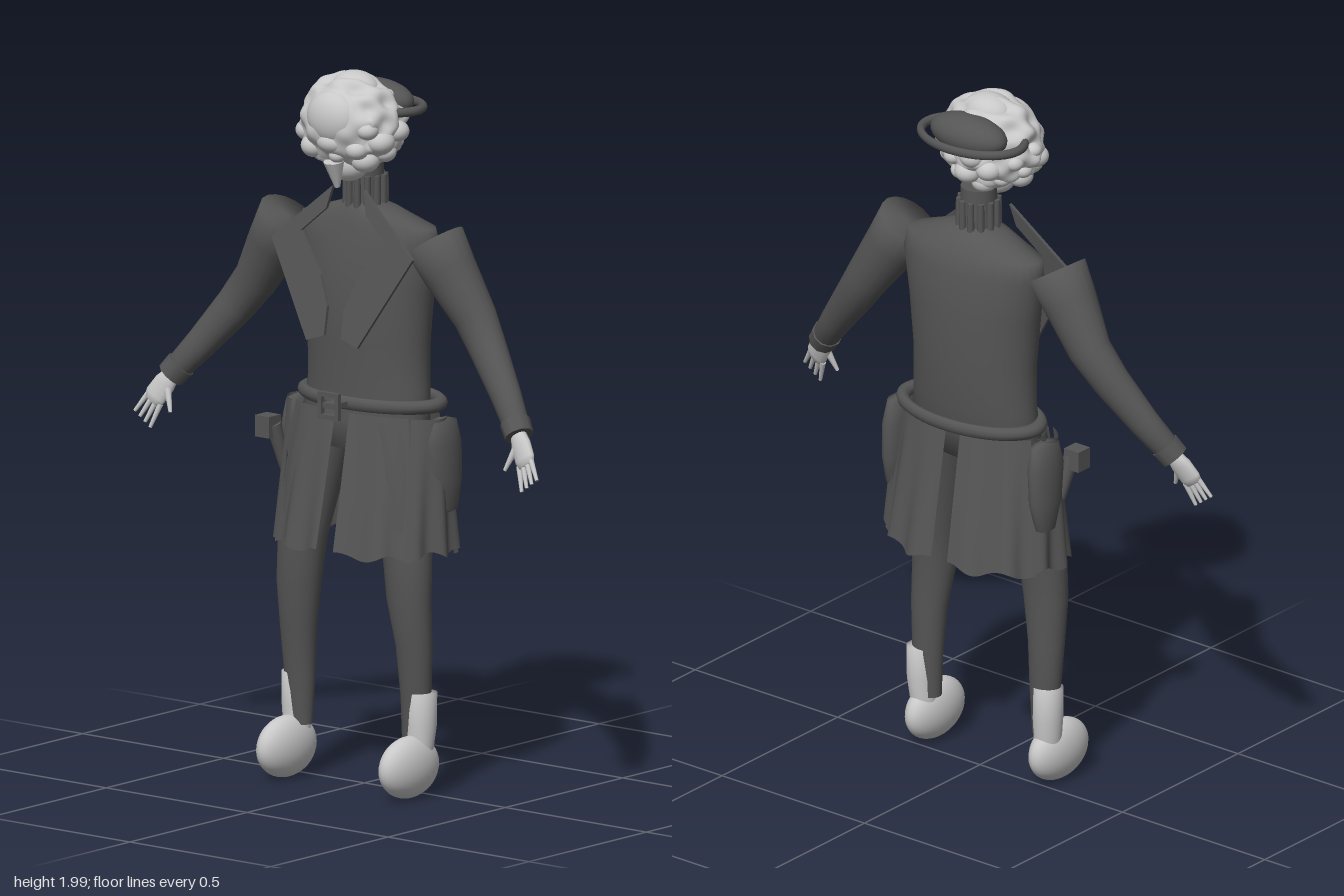
import * as THREE from 'three';
import { mergeVertices } from 'three/addons/utils/BufferGeometryUtils.js';

const cloth = new THREE.MeshStandardMaterial({ color: 0x555555, side: THREE.DoubleSide });
cloth.name = 'dark cloth';
const skin = new THREE.MeshStandardMaterial({ color: 0xc8c8c8, side: THREE.DoubleSide });
skin.name = 'pale grey';

const V = (x, y, z) => new THREE.Vector3(x, y, z);

function add(parent, name, geometry, material, x = 0, y = 0, z = 0) {
  const m = new THREE.Mesh(geometry, material);
  m.name = name;
  m.position.set(x, y, z);
  parent.add(m);
  return m;
}

const ball = (rx, ry, rz) => new THREE.SphereGeometry(1, 28, 20).scale(rx, ry, rz);

// Grid of points from fn(row, column), indexed as a smooth surface
function surface(rows, cols, fn, closed) {
  const pos = [], idx = [];
  for (let i = 0; i < rows; i++) for (let j = 0; j < cols; j++) pos.push(...fn(i, j));
  const span = closed ? cols : cols - 1;
  for (let i = 0; i < rows - 1; i++) for (let j = 0; j < span; j++) {
    const a = i * cols + j, b = i * cols + (j + 1) % cols, c = a + cols, d = b + cols;
    idx.push(a, b, c, b, d, c);
  }
  const g = new THREE.BufferGeometry();
  g.setAttribute('position', new THREE.Float32BufferAttribute(pos, 3));
  g.setIndex(idx);
  g.computeVertexNormals();
  return g;
}

// Horizontal ellipses [x, y, z, rx, rz] listed from the top down
function loft(sections, n = 24) {
  return surface(sections.length, n, (i, j) => {
    const [x, y, z, rx, rz] = sections[i], a = j / n * Math.PI * 2;
    return [x + rx * Math.cos(a), y, z + rz * Math.sin(a)];
  }, true);
}

// Tapering limb: [x, y, z, half width, half depth] along the path, end rows closed
function limb(points, n = 18) {
  const p = points.map(q => V(q[0], q[1], q[2]));
  const rings = [0, ...points.keys(), points.length - 1];
  return surface(rings.length, n, (r, j) => {
    const i = rings[r], q = points[i];
    const open = r === 0 || r === rings.length - 1 ? 0 : 1;
    const t = p[Math.min(i + 1, p.length - 1)].clone().sub(p[Math.max(i - 1, 0)]).normalize();
    const u = V(-t.y, t.x, 0).normalize(), w = t.clone().cross(u);
    const a = j / n * Math.PI * 2;
    return p[i].clone().addScaledVector(u, open * q[3] * Math.cos(a))
      .addScaledVector(w, open * q[4] * Math.sin(a)).toArray();
  }, true);
}

function rod(a, b, r0, r1) {
  const g = new THREE.CylinderGeometry(r1, r0, a.distanceTo(b), 10);
  const d = b.clone().sub(a).normalize();
  g.applyQuaternion(new THREE.Quaternion().setFromUnitVectors(V(0, 1, 0), d));
  const c = a.clone().add(b).multiplyScalar(0.5);
  return g.translate(c.x, c.y, c.z);
}

// Pleated coat panel on side s; angle 0 is the front and pi the back
function coatPanel(s, from, to, topRx, hem) {
  const [start, end] = s > 0 ? [to, from] : [-from, -to];
  return surface(9, 25, (i, j) => {
    const t = i / 8, a = start + (end - start) * j / 24;
    const ripple = 1 + 0.04 * t * Math.sin(Math.abs(a) * 14);
    const rx = (topRx + (0.287 - topRx) * t) * ripple, rz = (0.105 + 0.07 * t) * ripple;
    const drop = hem + 0.01 * Math.sin(Math.abs(a) * 11);
    return [rx * Math.sin(a), 1.055 + (drop - 1.055) * t, -0.01 + rz * Math.cos(a)];
  }, false);
}

function buildHead(group) {
  const head = new THREE.Group();
  head.name = 'head';
  group.add(head);

  // Curly hair: a ball with lumps, calmer over the face
  let g = new THREE.IcosahedronGeometry(1, 20);
  g.deleteAttribute('normal');
  g.deleteAttribute('uv');
  g = mergeVertices(g, 1e-4);
  const p = g.attributes.position;
  for (let i = 0; i < p.count; i++) {
    const v = V(0, 0, 0).fromBufferAttribute(p, i);
    const calm = v.z > 0.6 ? 0.45 : 1;
    const k = 1 + calm * 0.06 * (Math.sin(v.x * 9 + 1) * Math.sin(v.y * 10) + Math.sin(v.z * 11 + v.x * 5) * Math.cos(v.y * 8 + 2));
    p.setXYZ(i, v.x * 0.152 * k, v.y * 0.128 * k, v.z * 0.125 * k);
  }
  g.computeVertexNormals();
  add(head, 'hair', g, skin, 0, 1.86, 0.05);
  for (let i = 0; i < 26; i++) {
    const y = 0.1 - 0.95 * (i + 0.5) / 26, a = i * 2.4, r = Math.sqrt(1 - y * y);
    if (Math.cos(a) > 0.65 && y > -0.5) continue;
    const s = 0.032 + 0.008 * Math.sin(i * 5.3);
    add(head, 'curl', ball(s, s * 0.85, s), skin,
      0.138 * r * Math.sin(a), 1.86 + 0.12 * y, 0.05 + 0.112 * r * Math.cos(a));
  }
  add(head, 'crown', ball(0.075, 0.05, 0.06), skin, 0, 1.948, 0.04);
  add(head, 'face', ball(0.085, 0.075, 0.05), skin, 0, 1.88, 0.132);
  add(head, 'nose', ball(0.05, 0.035, 0.045), skin, 0, 1.815, 0.13);
  add(head, 'chin', ball(0.06, 0.05, 0.05), skin, 0, 1.745, 0.07);
  add(head, 'beard', rod(V(0, 1.76, 0.13), V(0, 1.685, 0.115), 0.03, 0.008), skin);

  // Cap on the back of the head with its wide ring brim
  add(head, 'cap', ball(0.125, 0.055, 0.065), cloth, 0, 1.908, -0.048);
  add(head, 'capRing', new THREE.TorusGeometry(1, 0.08, 10, 48).rotateX(Math.PI / 2)
    .scale(0.159, 0.16, 0.11), cloth, 0, 1.895, -0.031);
}

function buildCoat(group) {
  // Jacket body, shoulders sloping to the collar
  add(group, 'torso', loft([
    [0, 1.63, -0.005, 0.05, 0.05], [0, 1.615, -0.01, 0.1, 0.07], [0, 1.575, -0.02, 0.225, 0.09],
    [0, 1.52, -0.025, 0.232, 0.105], [0, 1.4, -0.02, 0.212, 0.118], [0, 1.25, -0.02, 0.197, 0.115],
    [0, 1.12, -0.02, 0.2, 0.105], [0, 1.03, -0.01, 0.21, 0.1], [0, 0.95, 0, 0.18, 0.085], [0, 0.93, 0, 0.02, 0.02],
  ], 36), cloth);

  // Ribbed collar
  add(group, 'neck', new THREE.CylinderGeometry(0.05, 0.052, 0.16, 20), cloth, 0, 1.66, -0.005);
  for (let i = 0; i < 12; i++) {
    const a = (i + 0.5) / 12 * Math.PI * 2;
    add(group, 'collarRib', new THREE.CylinderGeometry(0.009, 0.011, 0.13, 8), cloth,
      0.054 * Math.sin(a), 1.64, -0.005 + 0.054 * Math.cos(a));
  }

  // Belt and buckle
  add(group, 'belt', new THREE.TorusGeometry(1, 0.1, 10, 56).rotateX(Math.PI / 2)
    .scale(0.22, 0.19, 0.123), cloth, 0, 1.08, -0.035);
  for (const s of [-1, 1]) {
    add(group, 'buckleSide', new THREE.BoxGeometry(0.013, 0.075, 0.014), cloth, s * 0.03, 1.08, 0.15);
    add(group, 'buckleBar', new THREE.BoxGeometry(0.073, 0.013, 0.014), cloth, 0, 1.08 + s * 0.031, 0.15);
  }
  add(group, 'bucklePin', new THREE.BoxGeometry(0.045, 0.014, 0.06), cloth, 0, 1.08, 0.122);

  // Coat skirt, open at the front and vented at the back
  for (const s of [-1, 1]) {
    add(group, 'frontPanel', coatPanel(s, 0.1, 0.95, 0.245, 0.67), cloth);
    add(group, 'sideFlap', coatPanel(s, 0.9, 2.05, 0.27, 0.68), cloth);
    add(group, 'backPanel', coatPanel(s, 2, Math.PI - 0.1, 0.245, 0.67), cloth);

    // Stiff lapel leaning off the chest
    const outline = [[0.055, 1.675], [0.25, 1.51], [0.09, 1.25], [0.03, 1.27],
      [0.03, 1.35], [0.065, 1.43], [0.15, 1.54], [0.07, 1.61]];
    const shape = new THREE.Shape(outline.map(([x, y]) => new THREE.Vector2(s * x, y)));
    const g = new THREE.ExtrudeGeometry(shape, { depth: 0.01, bevelEnabled: false });
    const p = g.attributes.position;
    for (let i = 0; i < p.count; i++) p.setZ(i, p.getZ(i) + 0.058 + (1.68 - p.getY(i)) * 0.17);
    g.computeVertexNormals();
    add(group, 'lapel', g, cloth);

    // Hip pouch, narrowing downwards
    add(group, 'pouch', loft([
      [s * 0.25, 1.055, -0.03, 0.005, 0.01], [s * 0.252, 1.045, -0.03, 0.028, 0.05], [s * 0.255, 0.98, -0.03, 0.036, 0.065],
      [s * 0.258, 0.88, -0.035, 0.034, 0.058], [s * 0.262, 0.8, -0.04, 0.022, 0.035], [s * 0.262, 0.785, -0.04, 0.003, 0.005],
    ]), cloth);
  }
  add(group, 'holster', new THREE.BoxGeometry(0.05, 0.06, 0.05), cloth, -0.28, 0.975, 0.075);
  add(group, 'holsterStrap', rod(V(-0.265, 0.98, 0.07), V(-0.25, 0.86, 0.04), 0.022, 0.015), cloth);
}

function buildArm(group, s) {
  const arm = new THREE.Group();
  arm.name = s > 0 ? 'leftArm' : 'rightArm';
  group.add(arm);
  add(arm, 'sleeve', limb([
    [s * 0.26, 1.552, 0.012, 0.088, 0.08], [s * 0.31, 1.475, 0.008, 0.079, 0.072], [s * 0.39, 1.355, -0.004, 0.063, 0.056],
    [s * 0.45, 1.275, 0.012, 0.056, 0.048], [s * 0.54, 1.165, 0.045, 0.045, 0.04], [s * 0.615, 1.075, 0.08, 0.036, 0.035],
  ]), cloth);
  add(arm, 'cuff', rod(V(s * 0.592, 1.103, 0.07), V(s * 0.618, 1.07, 0.083), 0.043, 0.041), cloth);

  // Hand with four fingers and a thumb
  add(arm, 'palm', limb([
    [s * 0.61, 1.08, 0.08, 0.022, 0.02], [s * 0.632, 1.047, 0.092, 0.034, 0.018],
    [s * 0.655, 1.012, 0.103, 0.035, 0.016], [s * 0.665, 0.997, 0.108, 0.028, 0.012],
  ], 14), skin);
  for (let i = 0; i < 4; i++) {
    const k = i - 1.5;
    add(arm, 'finger', rod(V(s * (0.656 + k * 0.013), 1.005 + k * 0.01, 0.105),
      V(s * (0.686 + k * 0.018), 0.945 + k * 0.013, 0.122), 0.0085, 0.005), skin);
  }
  add(arm, 'thumb', rod(V(s * 0.617, 1.035, 0.098), V(s * 0.593, 0.975, 0.115), 0.011, 0.005), skin);
}

function buildLeg(group, s) {
  const leg = new THREE.Group();
  leg.name = s > 0 ? 'leftLeg' : 'rightLeg';
  group.add(leg);
  add(leg, 'trouser', loft([
    [s * 0.12, 1.04, 0, 0.09, 0.085], [s * 0.145, 0.9, 0.02, 0.085, 0.08], [s * 0.185, 0.68, 0.04, 0.073, 0.062],
    [s * 0.195, 0.55, 0.045, 0.066, 0.055], [s * 0.205, 0.42, 0.035, 0.054, 0.046],
    [s * 0.206, 0.28, 0.028, 0.046, 0.037], [s * 0.198, 0.15, 0.03, 0.032, 0.029],
  ]), cloth);
  add(leg, 'ankle', loft([
    [s * 0.223, 0.295, 0.022, 0.005, 0.005], [s * 0.223, 0.292, 0.022, 0.041, 0.042],
    [s * 0.221, 0.2, 0.022, 0.042, 0.042], [s * 0.217, 0.13, 0.026, 0.038, 0.038],
  ]), skin);
  add(leg, 'shoe', ball(0.053, 0.086, 0.113), skin, s * 0.217, 0.09, 0.072);
}

export function createModel() {
  const group = new THREE.Group();
  group.name = 'coatedFigure';
  buildHead(group);
  buildCoat(group);
  for (const s of [-1, 1]) {
    buildArm(group, s);
    buildLeg(group, s);
  }
  return group;
}
